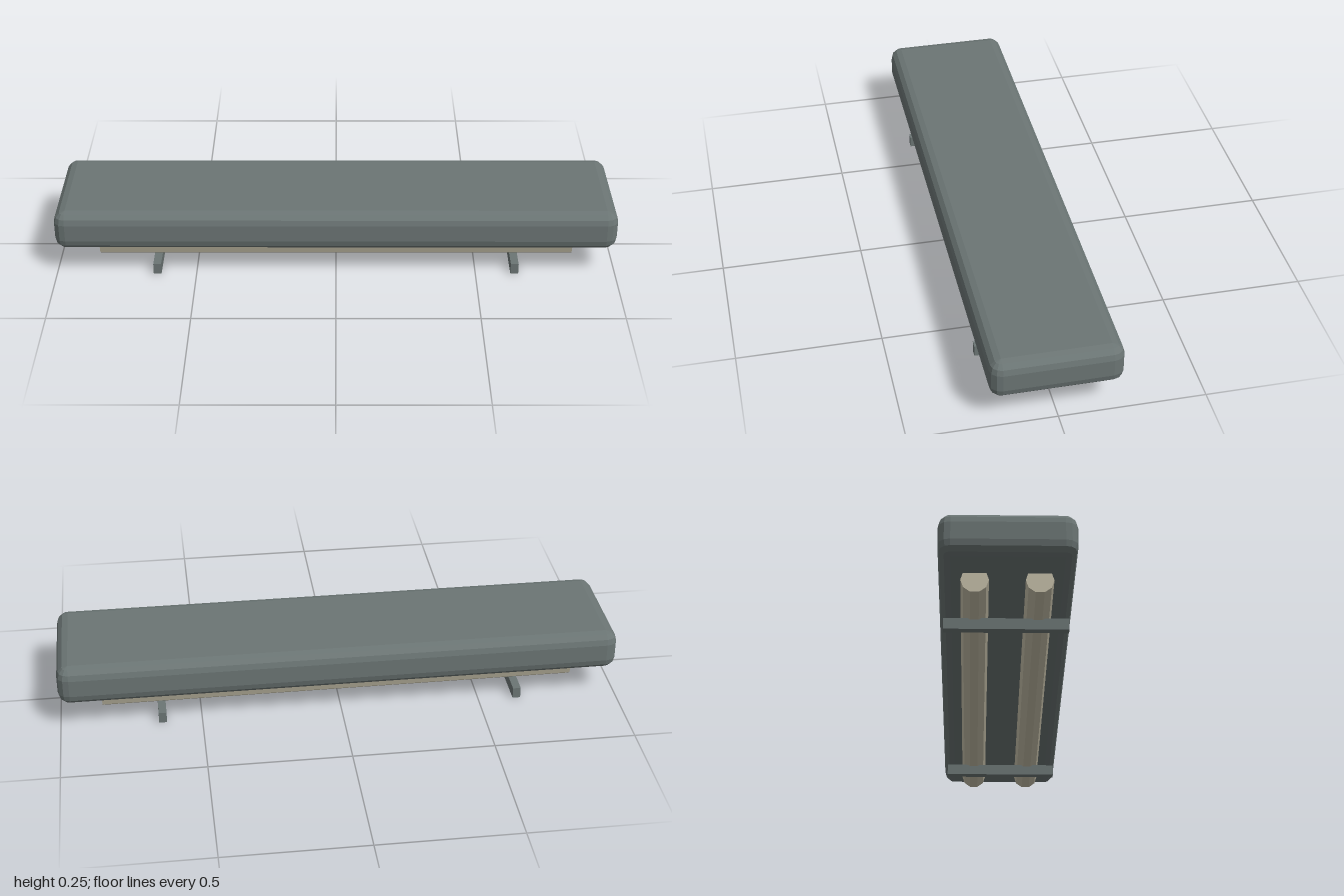
import * as THREE from 'three';

// Box with every edge and corner rounded in `seg` flat facets, built from stacked rounded rectangles
function bevelledBox(w, h, d, r, seg) {
  const pos = [], index = [], n = 4 * (seg + 1), rows = 2 * (seg + 1);
  for (let j = 0; j < rows; j++) {
    const top = j > seg ? 1 : -1;
    const e = (top > 0 ? j - seg - 1 : j - seg) / seg * Math.PI / 2;
    for (let c = 0; c < 4; c++) {
      const sx = c === 0 || c === 3 ? 1 : -1, sz = c < 2 ? 1 : -1;
      for (let i = 0; i <= seg; i++) {
        const a = (c + i / seg) * Math.PI / 2;
        pos.push(
          sx * (w / 2 - r) + r * Math.cos(e) * Math.cos(a),
          top * (h / 2 - r) + r * Math.sin(e),
          sz * (d / 2 - r) + r * Math.cos(e) * Math.sin(a));
      }
    }
  }
  for (let j = 0; j < rows - 1; j++) {
    for (let i = 0; i < n; i++) {
      const k = (i + 1) % n, a = j * n + i, b = j * n + k;
      // skip the collapsed triangles next to the flat top and bottom
      const corner = i % (seg + 1) !== seg;
      if (!(corner && j === rows - 2)) index.push(a + n, b + n, b);
      if (!(corner && j === 0)) index.push(a, a + n, b);
    }
  }
  // flat bottom and top
  const q = [0, 1, 2, 3].map(c => c * (seg + 1)), t = (rows - 1) * n;
  index.push(q[0], q[1], q[2], q[0], q[2], q[3]);
  index.push(t + q[0], t + q[2], t + q[1], t + q[0], t + q[3], t + q[2]);
  const g = new THREE.BufferGeometry();
  g.setAttribute('position', new THREE.Float32BufferAttribute(pos, 3));
  g.setIndex(index);
  const flat = g.toNonIndexed();
  flat.computeVertexNormals();
  return flat;
}

export function createModel() {
  const group = new THREE.Group();
  const slate = new THREE.MeshStandardMaterial({ color: 0x6b7574, flatShading: true });
  const wood = new THREE.MeshStandardMaterial({ color: 0xc2bca6, flatShading: true });

  const add = (name, geometry, material, x, y, z) => {
    const mesh = new THREE.Mesh(geometry, material);
    mesh.name = name;
    mesh.position.set(x, y, z);
    group.add(mesh);
    return mesh;
  };

  // padded slab
  add('cushion', bevelledBox(2, 0.144, 0.447, 0.041, 3), slate, 0, 0.174, 0);

  // ten-sided rails, one corner pointing straight down
  const railGeometry = new THREE.CylinderGeometry(0.046, 0.046, 1.7, 10).rotateZ(Math.PI / 2);
  // cross bars the rails rest on
  const barGeometry = new THREE.BoxGeometry(0.028, 0.04, 0.416);
  for (const s of [1, -1]) {
    add(s > 0 ? 'frontRail' : 'backRail', railGeometry, wood, 0, 0.078, s * 0.105);
    add(s > 0 ? 'leftCrossBar' : 'rightCrossBar', barGeometry, slate, s * 0.64, 0.02, 0);
  }
  return group;
}
